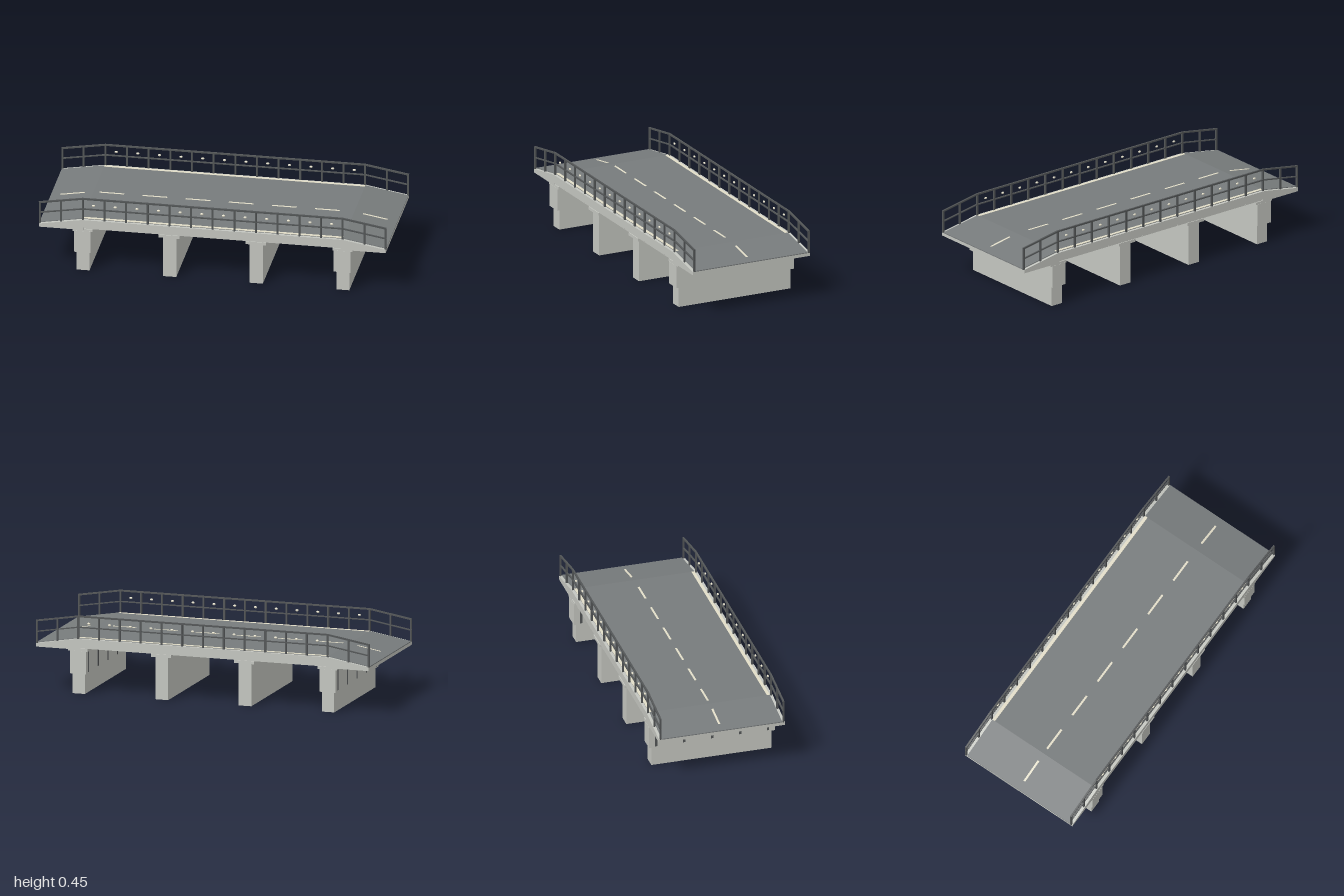
import * as THREE from 'three';

export function createModel() {
  const model = new THREE.Group();
  model.name = 'roadBridge';

  const mat = (name, color) => {
    const m = new THREE.MeshStandardMaterial({ color });
    m.name = name;
    return m;
  };
  const concrete = mat('concrete', 0xc4c6c0);
  const asphalt = mat('asphalt', 0x777b7c);
  const steel = mat('darkSteel', 0x535657);
  const paint = mat('roadPaint', 0xe2ddc8);

  const group = (name) => {
    const g = new THREE.Group();
    g.name = name;
    model.add(g);
    return g;
  };
  // Box given by its lower and upper corner on each axis
  function box(parent, name, material, [x0, x1], [y0, y1], [z0, z1]) {
    const mesh = new THREE.Mesh(new THREE.BoxGeometry(x1 - x0, y1 - y0, z1 - z0), material);
    mesh.position.set((x0 + x1) / 2, (y0 + y1) / 2, (z0 + z1) / 2);
    mesh.name = name;
    parent.add(mesh);
  }
  // Bar between two points in the xy plane
  function bar(parent, name, material, [xa, ya], [xb, yb], z, h, d) {
    const mesh = new THREE.Mesh(
      new THREE.BoxGeometry(Math.hypot(xb - xa, yb - ya), h, d), material);
    mesh.position.set((xa + xb) / 2, (ya + yb) / 2, z);
    mesh.rotation.z = Math.atan2(yb - ya, xb - xa);
    mesh.name = name;
    parent.add(mesh);
  }
  // Side profile extruded across the bridge
  function slab(name, material, points, halfWidth) {
    const shape = new THREE.Shape(points.map(([x, y]) => new THREE.Vector2(x, y)));
    const geo = new THREE.ExtrudeGeometry(shape, { depth: halfWidth * 2, bevelEnabled: false });
    geo.translate(0, 0, -halfWidth);
    const mesh = new THREE.Mesh(geo, material);
    mesh.name = name;
    model.add(mesh);
  }

  const END = 0.996, ROAD_END = 0.997, FLAT = 0.75;
  // Deck surface height at x
  const deckY = (x) => 0.32 - 0.042 * Math.max(0, (Math.abs(x) - FLAT) / (END - FLAT));

  // Deck with wedge shaped approaches
  slab('deck', concrete, [
    [-END, 0.258], [-0.74, 0.258], [-0.74, 0.275], [0.74, 0.275], [0.74, 0.258], [END, 0.258],
    [END, 0.278], [FLAT, 0.32], [-FLAT, 0.32], [-END, 0.278],
  ], 0.372);

  // Asphalt layer
  slab('roadSurface', asphalt, [
    [-ROAD_END, 0.277], [-FLAT, 0.319], [FLAT, 0.319], [ROAD_END, 0.277],
    [ROAD_END, 0.282], [FLAT, 0.324], [-FLAT, 0.324], [-ROAD_END, 0.282],
  ], 0.355);

  // Painted lines
  const lines = group('roadMarkings');
  for (let i = 0; i < 6; i++) {
    const x = -0.645 + i * 0.248;
    box(lines, 'centreDash', paint, [x - 0.071, x + 0.071], [0.323, 0.325], [-0.006, 0.006]);
  }
  for (const s of [-1, 1]) {
    bar(lines, 'rampDash', paint, [s * 0.8, deckY(0.8) + 0.0042],
      [s * 0.94, deckY(0.94) + 0.0042], 0, 0.002, 0.012);
    const z = s * 0.3465;
    box(lines, 'edgeLine', paint, [-FLAT, FLAT], [0.323, 0.325], [z - 0.009, z + 0.009]);
  }

  // Girders and cross beams under the deck
  const frame = group('underFrame');
  for (const z of [-0.36, -0.18, 0, 0.18, 0.36]) {
    box(frame, 'girder', concrete, [-0.745, 0.745], [0.265, 0.277], [z - 0.007, z + 0.007]);
  }
  for (let i = 0; i < 6; i++) {
    const x = -0.625 + i * 0.25;
    box(frame, 'crossBeam', concrete, [x - 0.007, x + 0.007], [0.267, 0.277], [-0.37, 0.37]);
  }

  // Piers in the middle, stepped abutments at the ends
  const supports = group('supports');
  for (const s of [-1, 1]) {
    const x = s * 0.249;
    box(supports, 'pier', concrete, [x - 0.038, x + 0.038], [0, 0.25], [-0.355, 0.355]);
    box(supports, 'pierCap', concrete, [x - 0.06, x + 0.06], [0.248, 0.265], [-0.372, 0.372]);

    const a = s * 0.747;
    box(supports, 'abutmentBase', concrete, [a - 0.037, a + 0.037], [0, 0.12], [-0.355, 0.355]);
    box(supports, 'abutmentWall', concrete, [a - 0.05, a + 0.046], [0.118, 0.25], [-0.372, 0.372]);
    box(supports, 'abutmentCap', concrete, [a - 0.058, a + 0.058], [0.248, 0.264], [-0.371, 0.371]);
    // Slim dark strips on the wall face
    for (let i = -2; i <= 2; i++) {
      const z = i * 0.165;
      box(supports, 'wallStrip', steel, [a - 0.0515, a - 0.049], [0.125, 0.248], [z - 0.007, z + 0.007]);
    }
  }

  // Railings on both sides
  const reflectorShape = new THREE.SphereGeometry(1, 16, 10).scale(0.0095, 0.0065, 0.0055);
  for (const s of [-1, 1]) {
    const rail = group(s > 0 ? 'frontRailing' : 'backRailing');
    const z = s * 0.363;
    const posts = [-0.994, -0.872, 0.872, 0.994];
    for (let i = 0; i < 13; i++) posts.push(-0.747 + i * 0.1245);
    for (const x of posts) {
      const y = deckY(x);
      box(rail, 'post', steel, [x - 0.005, x + 0.005], [y - 0.001, y + 0.131], [z - 0.005, z + 0.005]);
    }
    // Top and middle rails follow the deck
    for (const [name, lift, h] of [['topRail', 0.129, 0.009], ['middleRail', 0.066, 0.006]]) {
      const yMid = 0.32 + lift, yEnd = 0.278 + lift;
      bar(rail, name, steel, [-0.75, yMid], [0.75, yMid], z, h, 0.01);
      for (const e of [-1, 1]) {
        bar(rail, name, steel, [e * 0.748, yMid], [e * 0.999, yEnd], z, h, 0.01);
      }
    }
    // Small reflectors between posts
    for (let i = 0; i < 12; i++) {
      const reflector = new THREE.Mesh(reflectorShape, paint);
      reflector.position.set(-0.685 + i * 0.1245, 0.41, z);
      reflector.name = 'reflector';
      rail.add(reflector);
    }
  }

  return model;
}
